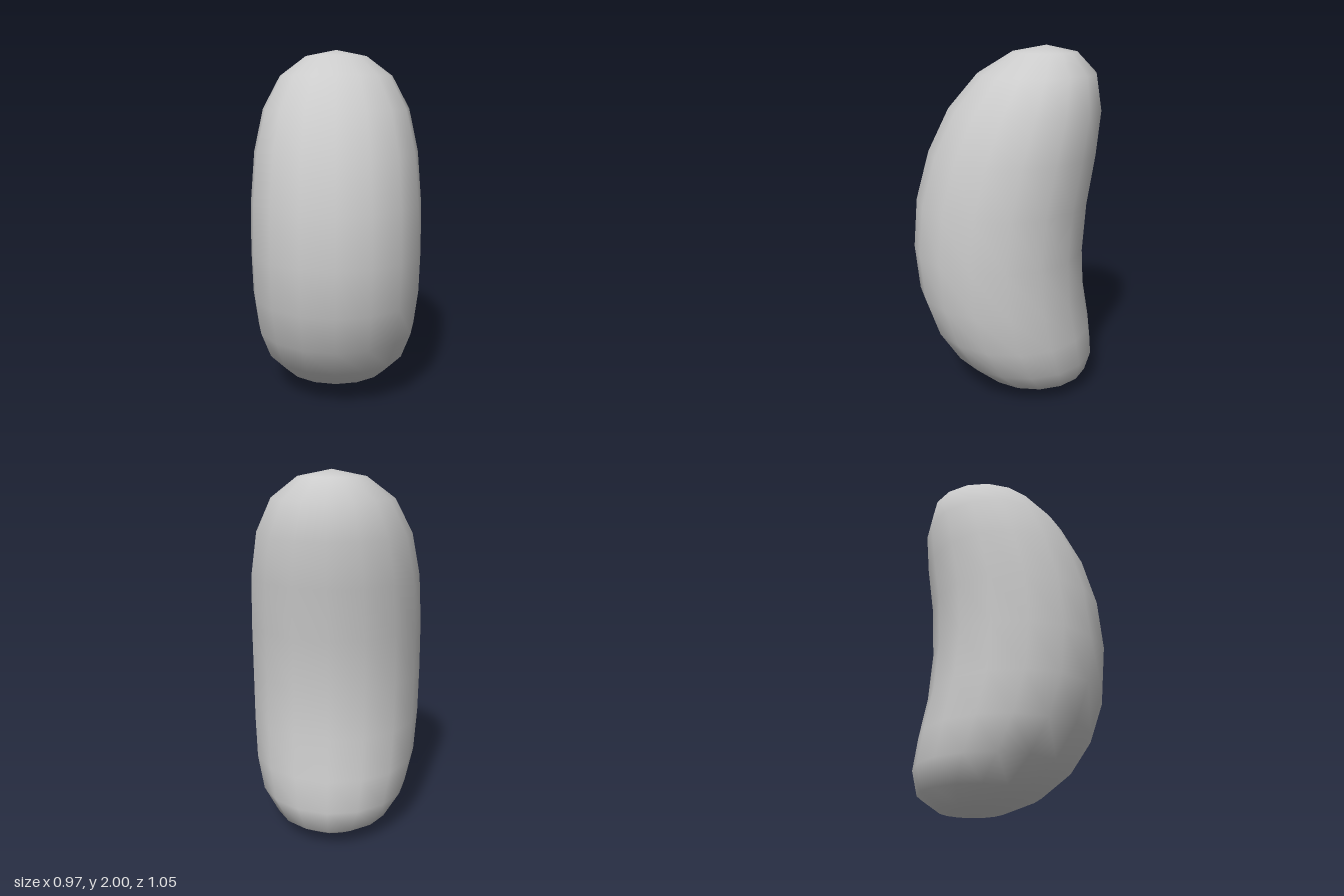
import * as THREE from 'three';
import { mergeVertices } from 'three/addons/utils/BufferGeometryUtils.js';

// Rings from top pole to bottom pole
const HEIGHTS = [2, 1.965, 1.855, 1.673, 1.44, 1.17, 0.89, 0.63, 0.41, 0.235, 0.105, 0.03, 0.003];
// Radius and z offset by distance from the middle ring (0) to a pole (6)
const RADII = [0.485, 0.481, 0.463, 0.416, 0.322, 0.176, 0];
const OFFSETS = [0.04, 0.02, -0.037, -0.105, -0.168, -0.206, -0.215];
const SIDES = 16;

export function createModel() {
  // Sphere whose rings are resized and shifted into a bent bean
  const geometry = new THREE.SphereGeometry(1, SIDES, HEIGHTS.length - 1);
  const pos = geometry.attributes.position;
  for (let i = 0; i < pos.count; i++) {
    const ring = Math.floor(i / (SIDES + 1));
    const step = Math.abs(ring - 6);
    const angle = ((i % (SIDES + 1)) % SIDES) / SIDES * Math.PI * 2;
    pos.setXYZ(
      i,
      -Math.cos(angle) * RADII[step],
      HEIGHTS[ring],
      Math.sin(angle) * RADII[step] + OFFSETS[step]
    );
  }

  // Join the seam and poles so the shading is smooth all round
  geometry.deleteAttribute('uv');
  geometry.deleteAttribute('normal');
  const smooth = mergeVertices(geometry);
  smooth.computeVertexNormals();

  const bean = new THREE.Mesh(smooth, new THREE.MeshStandardMaterial({ color: 0xcccccc }));
  bean.name = 'bean';
  const group = new THREE.Group();
  group.name = 'beanModel';
  group.add(bean);
  return group;
}
